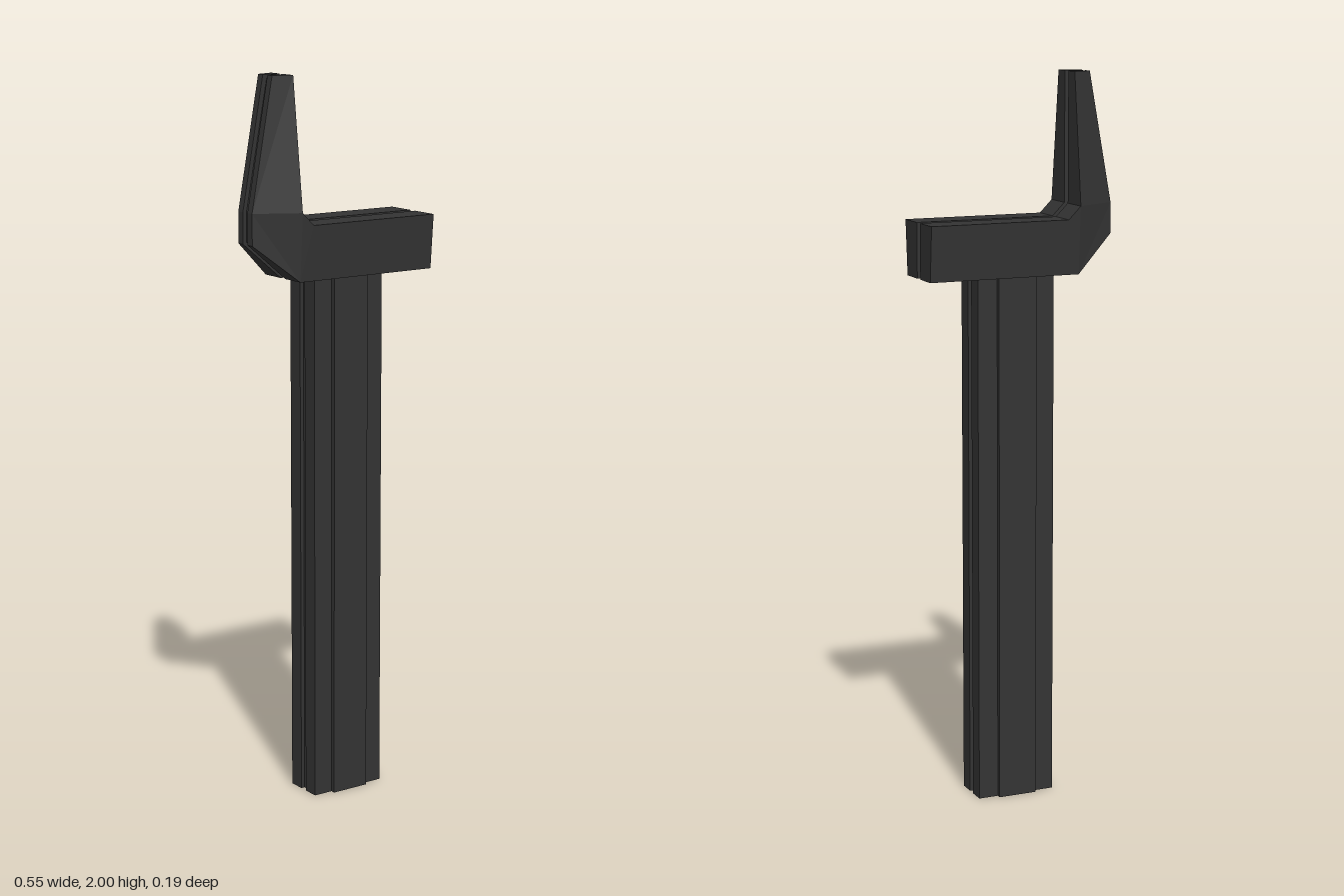
import * as THREE from 'three';

const material = new THREE.MeshStandardMaterial({ color: 0x333333, flatShading: true });
const GAP = 0.011; // half width of the groove that splits the head

// Head outline [x, y, half thickness], clockwise from the prong tip
const OUTLINE = [
  [-0.21, 2.0, 0.033], [-0.157, 2.0, 0.052], [-0.157, 1.645, 0.095],
  [-0.122, 1.61, 0.095], [0.273, 1.61, 0.095], [0.273, 1.46, 0.083],
  [-0.157, 1.46, 0.083], [-0.275, 1.56, 0.033], [-0.275, 1.645, 0.033],
];
// Flat panels of the outline: prong, elbow, beam
const PANELS = [[8, 0, 1, 2], [8, 2, 6, 7], [6, 2, 3, 4, 5]];

// One half of the head; side = 1 for front, -1 for back
function headHalf(side) {
  const positions = [];
  const outer = OUTLINE.map(([x, y, z]) => [x, y, z * side]);
  const inner = OUTLINE.map(([x, y]) => [x, y, GAP * side]);
  const tri = (a, b, c) => positions.push(...a, ...(side > 0 ? [...c, ...b] : [...b, ...c]));
  for (const p of PANELS) {
    for (let i = 1; i < p.length - 1; i++) {
      tri(outer[p[0]], outer[p[i]], outer[p[i + 1]]);
      tri(inner[p[0]], inner[p[i + 1]], inner[p[i]]);
    }
  }
  // Rim between the outer panel and the groove
  for (let i = 0; i < outer.length; i++) {
    const j = (i + 1) % outer.length;
    tri(outer[i], inner[i], inner[j]);
    tri(outer[i], inner[j], outer[j]);
  }
  const geometry = new THREE.BufferGeometry();
  geometry.setAttribute('position', new THREE.Float32BufferAttribute(positions, 3));
  geometry.computeVertexNormals();
  return geometry;
}

function extrude(points, depth) {
  const shape = new THREE.Shape(points.map(([x, y]) => new THREE.Vector2(x, y)));
  return new THREE.ExtrudeGeometry(shape, { depth, bevelEnabled: false });
}

export function createModel() {
  const group = new THREE.Group();
  const add = (name, geometry) => {
    const mesh = new THREE.Mesh(geometry, material);
    mesh.name = name;
    group.add(mesh);
  };

  // Forked head: two halves around a slightly inset core
  add('headFront', headHalf(1));
  add('headBack', headHalf(-1));
  const core = extrude([
    [-0.198, 1.99], [-0.168, 1.99], [-0.168, 1.64], [-0.13, 1.599], [0.262, 1.599],
    [0.262, 1.471], [-0.153, 1.471], [-0.264, 1.565], [-0.264, 1.644],
  ], GAP * 2);
  add('headCore', core.translate(0, 0, -GAP));

  // Shaft: raised panel front and back, groove down both narrow sides
  const quarter = [[0.055, 0.07], [0.055, 0.057], [0.111, 0.057], [0.111, GAP], [0.1, GAP]];
  const flip = (sx, sy) => quarter.map(([x, y]) => [x * sx, y * sy]);
  const section = [
    ...flip(1, 1), ...flip(1, -1).reverse(), ...flip(-1, -1), ...flip(-1, 1).reverse(),
  ];
  const shaft = extrude(section, 1.46);
  add('shaft', shaft.rotateX(-Math.PI / 2).translate(0.016, 0, 0));

  return group;
}
